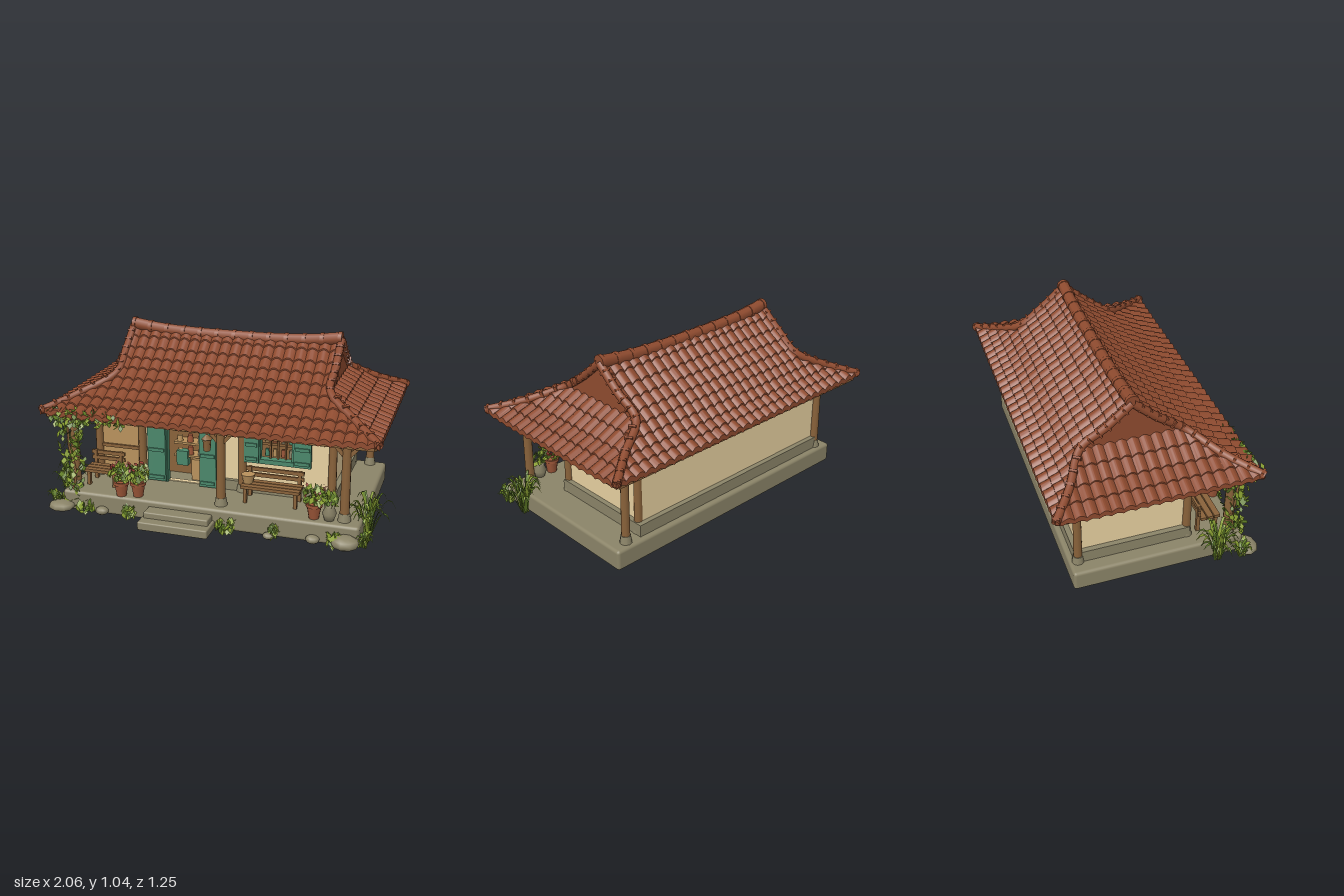
import * as THREE from 'three';
import { mergeGeometries, toCreasedNormals } from 'three/addons/utils/BufferGeometryUtils.js';
import { RoundedBoxGeometry } from 'three/addons/geometries/RoundedBoxGeometry.js';

const V = (x, y, z) => new THREE.Vector3(x, y, z);
const pts2 = list => list.map(p => new THREE.Vector2(...p));
const mat = (name, color, side = THREE.FrontSide) => Object.assign(new THREE.MeshStandardMaterial({ color, side }), { name });
const times = (n, f) => Array.from({ length: n }, (_, i) => f(i));

export function createModel() {
  const root = new THREE.Group();
  root.name = 'house';
  const M = {
    roof: mat('roof tile', 0x8f4b2f, THREE.DoubleSide), wood: mat('wood', 0x89623a, THREE.DoubleSide),
    pale: mat('pale wood', 0xb8915c), plaster: mat('plaster', 0xebd4a3), stone: mat('stone', 0x8b8468),
    teal: mat('teal paint', 0x4a876a), leaf: mat('leaf', 0x869c30, THREE.DoubleSide), dark: mat('dark leaf', 0x5f7c26, THREE.DoubleSide),
    clay: mat('terracotta', 0x9c5638, THREE.DoubleSide), flower: mat('flower', 0x9a3d36, THREE.DoubleSide),
  };
  let seed = 7;
  const rnd = (a, b) => a + (b - a) * (seed = (seed * 16807) % 2147483647) / 2147483647;
  const add = (name, geo, m, x = 0, y = 0, z = 0) => {
    const mesh = new THREE.Mesh(geo, m);
    mesh.name = name;
    mesh.position.set(x, y, z);
    root.add(mesh);
    return mesh;
  };
  // box given by its extents
  const box = (name, m, x0, x1, y0, y1, z0, z1) =>
    add(name, new THREE.BoxGeometry(x1 - x0, y1 - y0, z1 - z0), m, (x0 + x1) / 2, (y0 + y1) / 2, (z0 + z1) / 2);
  const beamGeo = (a, b, w, h) => new THREE.BoxGeometry(w, h, a.distanceTo(b))
    .applyMatrix4(new THREE.Matrix4().lookAt(b, a, V(0, 1, 0))).translate((a.x + b.x) / 2, (a.y + b.y) / 2, (a.z + b.z) / 2);
  const tube = (name, pts, r, m) => add(name, new THREE.TubeGeometry(new THREE.CatmullRomCurve3(pts), 32, r, 8), m);

  // plinth, steps and rounded rocks
  add('plinth', new RoundedBoxGeometry(1.74, 0.12, 0.98, 2, 0.018), M.stone, 0, 0.06, -0.01);
  add('lowerStep', new RoundedBoxGeometry(0.41, 0.05, 0.2, 2, 0.008), M.stone, -0.145, 0.025, 0.52);
  add('upperStep', new RoundedBoxGeometry(0.38, 0.085, 0.12, 2, 0.008), M.stone, -0.145, 0.0425, 0.5);
  for (const [x, z, w, h] of [[-0.87, 0.5, 0.08, 0.03], [0.8, 0.51, 0.08, 0.04], [-0.62, 0.49, 0.04, 0.025], [0.38, 0.51, 0.035, 0.02], [0.62, 0.49, 0.04, 0.025]])
    add('rock', new THREE.SphereGeometry(1, 9, 6), M.stone, x, h, z).scale.set(w, h, w * 0.85);

  // walls on a stone footing
  box('backWall', M.plaster, -0.76, 0.66, 0.12, 0.67, -0.44, -0.41);
  box('leftWall', M.plaster, 0.63, 0.66, 0.12, 0.69, -0.41, 0.17);
  box('rightWall', M.plaster, -0.76, -0.73, 0.12, 0.65, -0.41, 0.17);
  const rect = (C, x0, x1, y0, y1) => new C(pts2([[x0, y0], [x1, y0], [x1, y1], [x0, y1]]));
  const front = rect(THREE.Shape, -0.76, 0.66, 0.12, 0.67);
  front.holes.push(rect(THREE.Path, -0.33, -0.11, 0.125, 0.5), rect(THREE.Path, 0.23, 0.44, 0.33, 0.49));
  add('frontWall', new THREE.ExtrudeGeometry(front, { depth: 0.03, bevelEnabled: false }), M.plaster, 0, 0, 0.14);
  box('backFooting', M.stone, -0.79, 0.69, 0.11, 0.19, -0.47, -0.42);
  for (const x of [0.64, -0.79]) box('sideFooting', M.stone, x, x + 0.05, 0.11, 0.19, -0.47, 0.19);
  box('frontFooting', M.stone, 0.03, 0.69, 0.11, 0.18, 0.15, 0.195);
  box('bayPanel', M.pale, -0.74, -0.47, 0.13, 0.54, 0.165, 0.178);
  for (const y of [0.3, 0.51]) box('bayRail', M.wood, -0.76, -0.46, y, y + 0.02, 0.17, 0.19);

  // posts with stone pads, braces and beams
  const post = (x, z, r) => {
    add('post', new THREE.CylinderGeometry(r, r * 1.12, 0.44, 10), M.wood, x, 0.37, z);
    add('postPad', new THREE.CylinderGeometry(r * 1.25, r * 1.6, 0.05, 10), M.stone, x, 0.14, z);
  };
  for (const x of [-0.81, 0.075, 0.775]) {
    post(x, 0.405, 0.024);
    add('postBraces', mergeGeometries([[-0.085, 0], [0.085, 0], [0, -0.085]].map(([dx, dz]) =>
      beamGeo(V(x, 0.48, 0.405), V(x + dx, 0.575, 0.405 + dz), 0.02, 0.022))), M.wood);
  }
  for (const [x, z] of [[0.775, -0.45], [-0.775, -0.45], [0.66, 0.18], [0.66, -0.42], [-0.76, 0.18], [-0.48, 0.19], [0.135, 0.185]]) post(x, z, 0.022);
  for (const z of [0.405, -0.46]) box('eaveBeam', M.wood, -0.86, 0.86, 0.565, 0.6, z - 0.02, z + 0.02);
  for (const x of [-0.8, 0.78]) box('crossBeam', M.wood, x - 0.02, x + 0.02, 0.565, 0.6, -0.5, 0.44);
  box('wallBeam', M.wood, -0.78, 0.68, 0.565, 0.6, 0.165, 0.195);

  // roof edges from eave corner, over the knee, to the ridge
  const F = [V(0.96, 0.592, 0.52), V(0.8, 0.66, 0.35), V(0.63, 0.755, 0.18), V(0.63, 0.855, 0.04), V(0.63, 0.975, -0.1)];
  const B = [V(0.96, 0.592, -0.61), V(0.8, 0.66, -0.49), V(0.63, 0.755, -0.38), V(0.63, 0.855, -0.24), V(0.63, 0.975, -0.1)];
  const flip = pts => pts.map(p => V(-p.x, p.y, p.z));
  const at = (pts, t) => {
    const i = Math.min(pts.length - 2, Math.floor(t));
    return pts[i].clone().lerp(pts[i + 1], t - i);
  };
  // sheet between two edges, its columns cut off by the hips; each course is [t, lift, rib height]
  const sheet = (a, b, axis, courses) => {
    const n = 240, w = n + 1, pos = [], idx = [];
    courses.forEach(([t, lift, ribHeight], j) => {
      const p = at(a, t), q = at(b, t);
      for (let i = 0; i <= n; i++) {
        const s = THREE.MathUtils.lerp(a[0][axis], b[0][axis], i / n);
        const u = THREE.MathUtils.clamp((s - p[axis]) / (q[axis] - p[axis]), 0, 1), v = p.clone().lerp(q, u);
        const flare = 0.012 * Math.pow(Math.abs(u * 2 - 1), 6) * Math.max(0, 1 - t), c = j * w + i;
        pos.push(v.x, v.y + flare + lift + ribHeight * Math.abs(Math.sin(Math.PI * v[axis] / 0.064)), v.z);
        if (i < n && j < courses.length - 1) idx.push(c, c + 1, c + w, c + 1, c + w + 1, c + w);
      }
    });
    const g = new THREE.BufferGeometry();
    g.setAttribute('position', new THREE.Float32BufferAttribute(pos, 3));
    g.setIndex(idx);
    return toCreasedNormals(g, 0.7);
  };
  for (const [s, a, b, axis, tMax, rows] of [['front', flip(F), F, 'x', 4, 9], ['back', B, flip(B), 'x', 4, 9], ['left', F, B, 'z', 2, 4], ['right', flip(B), flip(F), 'z', 2, 4]]) {
    const courses = times(rows, r => [[tMax * r / rows, 0.008, 0.018], [tMax * (r + 1) / rows, 0, 0.018]]).flat();
    add(s + 'RoofTiles', sheet(a, b, axis, [[0, -0.018, 0.012], ...courses]), M.roof);
    add(s + 'Soffit', sheet(a, b, axis, [[0.06, -0.012, 0], [1, -0.012, 0], [2, -0.012, 0]]), M.wood);
    // rafters and eave board, set back under the tiles
    const n = axis === 'x' ? 22 : 13;
    const rafters = times(n - 1, i => beamGeo(...[0.16, 1].map(t => at(a, t).lerp(at(b, t), (i + 1) / n).add(V(0, -0.026, 0))), 0.022, 0.024));
    add(s + 'Rafters', mergeGeometries([...rafters, beamGeo(...[a, b].map(e => at(e, 0.18).setY(0.585)), 0.02, 0.03)]), M.wood);
  }
  // gable ends, and hip ridges running up into the gable verges
  const gable = new THREE.Shape(pts2([[-0.18, 0.74], [-0.04, 0.855], [0.1, 0.975], [0.24, 0.855], [0.38, 0.74]]));
  for (const s of [-1, 1]) {
    add('gable', new THREE.ExtrudeGeometry(gable, { depth: 0.02, bevelEnabled: false }).rotateY(Math.PI / 2), M.roof, s * 0.615 - 0.01);
    for (const e of [F, B]) {
      const up = e.map((p, i) => V(s * p.x, p.y + (i ? 0.016 : 0.02), p.z));
      tube('hipRidge', up, 0.023, M.roof);
      add('hipCaps', mergeGeometries(times(12, i => beamGeo(at(up, 0.04 + i * 0.33), at(up, 0.1 + i * 0.33), 0.042, 0.044))), M.roof);
    }
  }
  const ridgeY = x => 0.963 + 0.036 * Math.pow(Math.abs(x) / 0.63, 3);
  tube('ridge', [-0.635, -0.45, -0.2, 0, 0.2, 0.45, 0.635].map(x => V(x, ridgeY(x), -0.1)), 0.036, M.roof);
  for (let x = -0.624; x < 0.63; x += 0.104) add('ridgeCap', new THREE.CylinderGeometry(0.039, 0.039, 0.022, 10).rotateZ(Math.PI / 2), M.roof, x, ridgeY(x), -0.1);

  // doorway with open leaves and shelves inside
  const leaf = (name, x0, x1, y0, y1, z) => {
    box(name, M.teal, x0, x1, y0, y1, z, z + 0.022);
    for (const y of [y0 + 0.015, (y0 + y1) / 2, y1 - 0.035]) box(name + 'Batten', M.teal, x0 + 0.008, x1 - 0.008, y, y + 0.02, z + 0.02, z + 0.03);
  };
  const jarRow = (xs, y, z, r) => xs.forEach((x, i) => {
    const h = rnd(0.03, 0.05);
    add('jar', new THREE.CylinderGeometry(r * 0.8, r, h, 8), [M.teal, M.pale, M.clay, M.stone][(i + Math.floor(y * 50)) % 4], x, y + h / 2, z);
  });
  box('doorLintel', M.teal, -0.39, -0.07, 0.5, 0.57, 0.16, 0.19);
  for (let i = 0; i < 4; i++) box('lintelPanel', M.wood, -0.36 + i * 0.07, -0.31 + i * 0.07, 0.525, 0.56, 0.187, 0.194);
  for (const x of [-0.345, -0.115]) box('doorJamb', M.teal, x, x + 0.02, 0.12, 0.5, 0.15, 0.19);
  leaf('doorLeaf', -0.44, -0.33, 0.13, 0.5, 0.19);
  leaf('doorLeaf', -0.115, -0.015, 0.13, 0.5, 0.2);
  box('roomBack', M.wood, -0.4, -0.05, 0.12, 0.6, 0.01, 0.03);
  for (const y of [0.26, 0.34, 0.42]) {
    box('shelf', M.pale, -0.31, -0.12, y, y + 0.012, 0.03, 0.12);
    jarRow([-0.28, -0.215, -0.15], y + 0.012, 0.09, 0.02);
  }
  box('cabinet', M.pale, -0.2, -0.12, 0.12, 0.25, 0.03, 0.12);
  box('stool', M.teal, -0.29, -0.22, 0.21, 0.3, 0.08, 0.13);

  // window with shutters
  box('windowBack', M.wood, 0.2, 0.47, 0.3, 0.52, 0.08, 0.1);
  box('windowShelf', M.wood, 0.22, 0.45, 0.405, 0.42, 0.1, 0.15);
  for (const y of [0.335, 0.42]) jarRow([0.267, 0.313, 0.362, 0.407], y, 0.13, 0.013);
  for (const y of [0.305, 0.485]) box('windowRail', M.teal, 0.2, 0.47, y, y + 0.027, 0.15, 0.195);
  for (const x of [0.22, 0.425]) box('windowStile', M.teal, x, x + 0.022, 0.32, 0.5, 0.15, 0.19);
  for (const x of [0.29, 0.335, 0.38]) box('windowBar', M.wood, x, x + 0.009, 0.33, 0.49, 0.15, 0.165);
  leaf('shutter', 0.15, 0.235, 0.31, 0.51, 0.185);
  leaf('shutter', 0.44, 0.54, 0.31, 0.51, 0.185);
  // lantern beside the middle post
  add('lanternBody', new THREE.CylinderGeometry(0.025, 0.02, 0.07, 6), M.wood, -0.005, 0.47, 0.405);
  add('lanternCap', new THREE.ConeGeometry(0.034, 0.03, 6), M.wood, -0.005, 0.52, 0.405);
  box('lanternHook', M.wood, -0.008, -0.002, 0.53, 0.58, 0.402, 0.408);

  // benches
  for (const [x0, x1, seat, top, z] of [[0.17, 0.51, 0.225, 0.3, 0.24], [-0.78, -0.57, 0.22, 0.3, 0.26]]) {
    for (const d of [0, 0.04, 0.08]) box('benchSlat', M.wood, x0, x1, seat - 0.018, seat, z + d, z + d + 0.034);
    for (const y of [top - 0.025, top - 0.06]) box('benchBack', M.wood, x0, x1, y, y + 0.022, z - 0.018, z - 0.004);
    for (const x of [x0 + 0.015, x1 - 0.035]) for (const [d, y] of [[0.085, seat - 0.015], [-0.02, top]]) box('benchLeg', M.wood, x, x + 0.02, 0.12, y, z + d, z + d + 0.021);
  }
  add('basket', new THREE.CylinderGeometry(0.04, 0.028, 0.05, 10), M.pale, 0.2, 0.25, 0.29);

  // planting: scattered leaves, bushes and arching blades
  const leaves = (name, n, size, m, place) => add(name, mergeGeometries(times(n, i => {
    const s = size * rnd(0.7, 1.3), p = place(i / n);
    const shape = new THREE.Shape(pts2([[0, -s], [0.65 * s, -0.1 * s], [0, s], [-0.65 * s, -0.1 * s]]));
    return new THREE.ShapeGeometry(shape).rotateX(rnd(-1.3, -0.1)).rotateY(rnd(-2, 2)).translate(p.x, p.y, p.z);
  })), m);
  const blob = (x, y, z, r, h) => () => V(rnd(-1, 1), rnd(-1, 1), rnd(-1, 1)).normalize().multiply(V(r, h, r)).add(V(x, y, z));
  const bush = (x, y, z, r, h, n) => [M.leaf, M.dark].forEach((m, i) => leaves('bush', n, 0.024, m, blob(x, y, z, r * (1 - i / 5), h * (1 - i / 5))));
  const blade = (h, spread, turn) => {
    const g = new THREE.PlaneGeometry(0.024, 1, 1, 6).translate(0, 0.5, 0), p = g.attributes.position;
    for (let k = 0; k < p.count; k++) {
      const t = p.getY(k);
      p.setXYZ(k, p.getX(k) * (0.3 + 2 * t) * (1.03 - t), h * Math.sin(t * 2.2), spread * t);
    }
    g.computeVertexNormals();
    return g.rotateY(turn);
  };
  for (const [x, z, h, spread, n] of [[0.89, 0.31, 0.24, 0.13, 24], [-0.89, 0.32, 0.24, 0.12, 24], [0.89, 0.46, 0.09, 0.08, 12], [-0.91, 0.46, 0.1, 0.07, 12]])
    [M.leaf, M.dark].forEach((m, side) => add('grass', mergeGeometries(times(n, i => blade(h * rnd(0.55, 1.02), spread * rnd(0.4, 1), (i + side / 2) * 2.4)
      .translate(x + rnd(-0.02, 0.02), 0.005, z + rnd(-0.02, 0.02)))), m));
  for (const [x, z, r] of [[-0.72, 0.5, 0.05], [-0.45, 0.5, 0.03], [0.13, 0.51, 0.05], [0.4, 0.5, 0.02], [0.74, 0.5, 0.04]]) bush(x, 0.045, z, r, 0.033, 24);
  // climbing vine on the corner post and along the eave
  tube('vineStem', [V(-0.86, 0.02, 0.44), V(-0.8, 0.2, 0.44), V(-0.84, 0.4, 0.43), V(-0.8, 0.57, 0.45), V(-0.6, 0.59, 0.5)], 0.007, M.wood);
  for (const m of [M.leaf, M.dark]) {
    leaves('postVine', 100, 0.024, m, t => V(-0.82 + rnd(-0.06, 0.06), 0.05 + 0.54 * t, 0.43 + rnd(-0.05, 0.06)));
    leaves('eaveVine', 65, 0.022, m, t => V(-0.9 + 0.42 * t + rnd(-0.02, 0.02), 0.59 + rnd(-0.06, 0.04) * (1.1 - t * 0.5), 0.5 + rnd(-0.03, 0.03)));
  }
  // flower pots and a stone jar
  const potShape = pts2([[0, 0], [0.028, 0], [0.04, 0.07], [0.046, 0.07], [0.046, 0.088], [0.036, 0.088], [0.034, 0.07], [0, 0.07]]);
  for (const [x, z] of [[-0.51, 0.45], [-0.415, 0.43], [0.61, 0.42]]) {
    add('flowerPot', toCreasedNormals(new THREE.LatheGeometry(potShape, 14), 0.6), M.clay, x, 0.12, z);
    bush(x, 0.255, z, 0.065, 0.045, 30);
    leaves('flowers', 13, 0.017, M.flower, blob(x, 0.28, z, 0.065, 0.04));
  }
  const jug = pts2([[0, 0], [0.026, 0], [0.04, 0.04], [0.026, 0.075], [0.032, 0.09], [0, 0.085]]);
  add('stoneJar', new THREE.LatheGeometry(jug, 14), M.stone, 0.695, 0.12, 0.42);
  bush(0.7, 0.24, 0.42, 0.04, 0.035, 14);
  return root;
}
